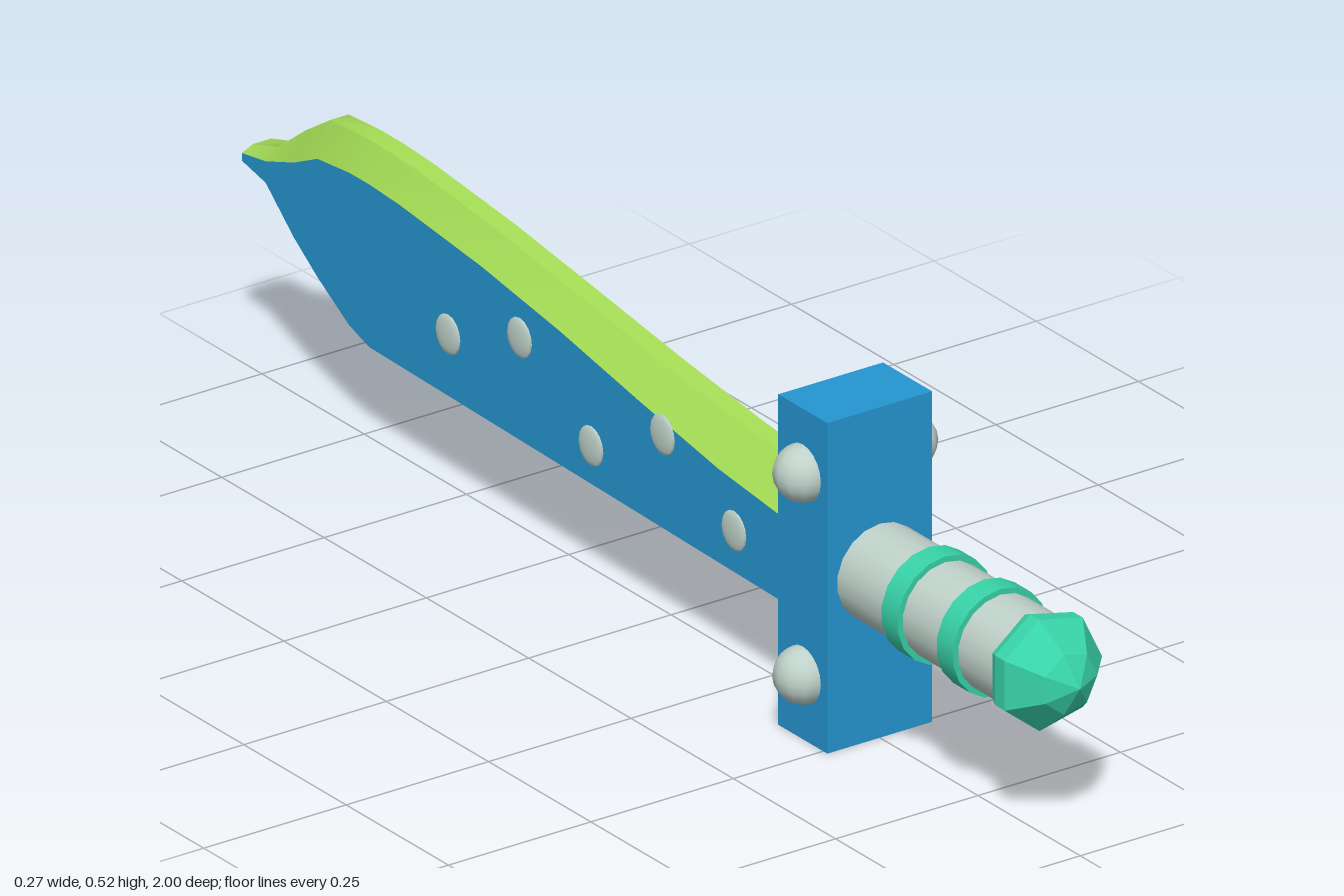
import * as THREE from 'three';

const mat = (name, color, extra = {}) => {
  const m = new THREE.MeshStandardMaterial({ color, ...extra });
  m.name = name;
  return m;
};

export function createModel() {
  const blue = mat('blue', 0x2596d1);
  const lime = mat('lime', 0xa6de56);
  const teal = mat('teal', 0x38d3a8, { flatShading: true });
  const tealSmooth = teal.clone();
  tealSmooth.flatShading = false;
  const metal = mat('pale metal', 0xc0d2ca);
  const grey = mat('grey', 0xb9bbb6);

  const group = new THREE.Group();
  const add = (name, geometry, material, x = 0, y = 0, z = 0) => {
    const mesh = new THREE.Mesh(geometry, material);
    mesh.name = name;
    mesh.position.set(x, y, z);
    group.add(mesh);
    return mesh;
  };

  // Blade stations: z, underside, bevel line, ridge
  const stations = [
    [0.41, 0.175, 0.304, 0.36], [0.2, 0.175, 0.322, 0.378], [0, 0.175, 0.352, 0.402],
    [-0.2, 0.175, 0.385, 0.43], [-0.4, 0.175, 0.411, 0.457], [-0.6, 0.175, 0.428, 0.477],
    [-0.68, 0.175, 0.431, 0.481], [-0.73, 0.19, 0.43, 0.481], [-0.81, 0.235, 0.421, 0.476],
    [-0.87, 0.275, 0.392, 0.437], [-0.94, 0.333, 0.367, 0.384], [-1, 0.345, 0.357, 0.366],
  ];
  // Six corners per cross-section, counter-clockwise seen from the handle
  const sections = stations.map(([z, low, edge, top]) => {
    const w = 0.035 + 0.03 * (z + 1) / 1.41;
    const r = 0.016;
    return [[w, low, z], [w, edge, z], [r, top, z], [-r, top, z], [-w, edge, z], [-w, low, z]];
  });
  const build = (points, index) => {
    const g = new THREE.BufferGeometry();
    g.setAttribute('position', new THREE.Float32BufferAttribute(points.flat(), 3));
    g.setIndex(index);
    g.computeVertexNormals();
    return g;
  };
  // One lengthwise face of the blade between neighbouring corners
  const strip = (k) => {
    const points = [], index = [];
    sections.forEach((s, i) => {
      points.push(s[k], s[(k + 1) % 6]);
      if (i === 0) return;
      const a = 2 * i - 2, b = a + 1, d = a + 2, c = a + 3;
      index.push(a, d, c, a, c, b);
    });
    return build(points, index);
  };
  const faces = [
    ['bladeLeftSide', blue], ['leftBevel', lime], ['bladeRidge', lime],
    ['rightBevel', lime], ['bladeRightSide', blue], ['bladeUnderside', grey],
  ];
  faces.forEach(([name, material], k) => add(name, strip(k), material));
  add('bladeTip', build(sections[sections.length - 1], [0, 2, 1, 0, 3, 2, 0, 4, 3, 0, 5, 4]), blue);

  // Shallow studs along both sides of the blade
  const bladeStud = new THREE.SphereGeometry(0.031, 12, 8);
  const studSpots = [[0.24, 0.24], [0.06, 0.322], [-0.12, 0.235], [-0.3, 0.336], [-0.48, 0.272]];
  for (const side of [-1, 1]) {
    for (const [z, y] of studSpots) {
      const w = 0.035 + 0.03 * (z + 1) / 1.41;
      add('bladeStud', bladeStud, metal, side * w, y, z).scale.x = 0.2;
    }
  }

  // Guard with two round studs per side
  add('guard', new THREE.BoxGeometry(0.184, 0.52, 0.12), blue, 0, 0.26, 0.45);
  const guardStud = new THREE.SphereGeometry(0.044, 12, 10);
  for (const x of [-0.092, 0.092]) {
    for (const y of [0.102, 0.42]) add('guardStud', guardStud, metal, x, y, 0.45);
  }

  // Grip and its two bands
  const rod = (r, length) => new THREE.CylinderGeometry(r, r, length, 18).rotateX(Math.PI / 2);
  add('grip', rod(0.075, 0.4), metal, 0, 0.262, 0.7);
  for (const z of [0.65, 0.785]) add('gripBand', rod(0.084, 0.04), tealSmooth, 0, 0.262, z);

  // Seven-sided faceted pommel
  const profile = [[0, 0.89], [0.083, 0.89], [0.09, 0.905], [0.09, 0.928], [0.048, 0.975], [0, 1]];
  const pommel = new THREE.LatheGeometry(
    profile.map(([r, h]) => new THREE.Vector2(r, h)), 7, Math.PI / 2);
  add('pommel', pommel.rotateX(Math.PI / 2), teal, 0, 0.262, 0);

  return group;
}
